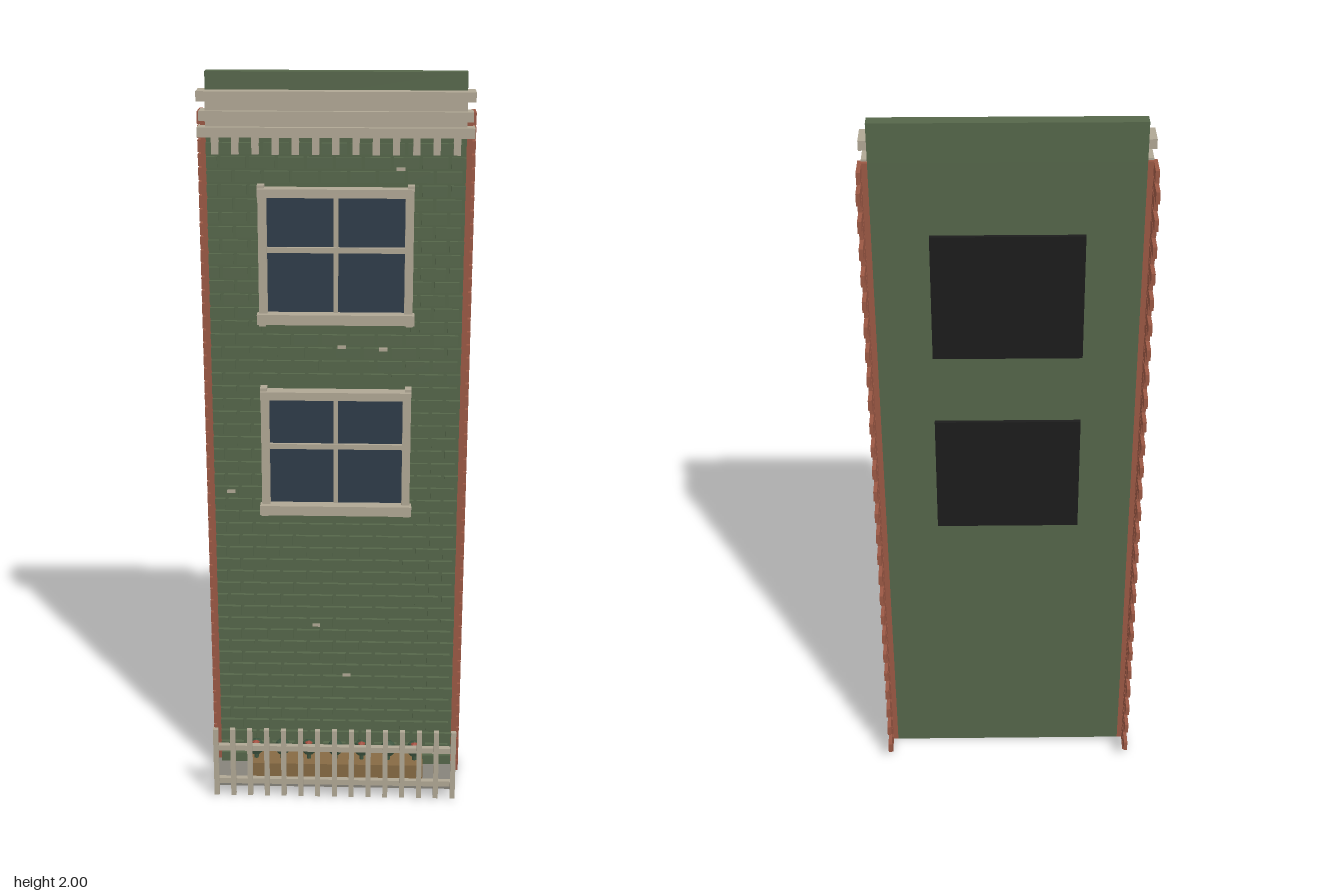
import * as THREE from 'three';
import { mergeGeometries } from 'three/addons/utils/BufferGeometryUtils.js';

const mat = (name, color) => {
  const m = new THREE.MeshStandardMaterial({ color });
  m.name = name;
  return m;
};

// Box given by its min and max on each axis
const span = (x0, x1, y0, y1, z0, z1) =>
  new THREE.BoxGeometry(x1 - x0, y1 - y0, z1 - z0)
    .translate((x0 + x1) / 2, (y0 + y1) / 2, (z0 + z1) / 2);

export function createModel() {
  const green = mat('greenBrick', 0x55664a);
  const red = mat('redBrick', 0x9a5844);
  const stone = mat('paleStone', 0xb0a794);
  const glass = mat('darkGlass', 0x2d3b49);
  const black = mat('blackBacking', 0x1c1c1c);
  const grey = mat('greyStone', 0x86837b);
  const wood = mat('planterWood', 0x866a43);
  const leaf = mat('leafGreen', 0x3e5640);
  const petal = mat('redPetal', 0xa04c3c);

  const model = new THREE.Group();
  model.name = 'townhouseFacade';
  const add = (name, material, geos, parent = model) => {
    const mesh = new THREE.Mesh(mergeGeometries([geos].flat()), material);
    mesh.name = name;
    parent.add(mesh);
    return mesh;
  };

  // Wall and parapet
  add('wall', green, span(-0.33, 0.33, 0.01, 1.9, -0.05, -0.01));
  add('parapet', green, span(-0.33, 0.33, 1.9, 2, -0.05, -0.015));

  // Running-bond face bricks, cut around the windows
  const rowPitch = 1.9 / 53, brickPitch = 0.66 / 9;
  const windows = [[0.815, 1.18], [1.35, 1.72]];
  const bricks = [];
  const layBrick = (a, b, y) => {
    if (b - a > 0.015) bricks.push(span(a, b, y, y + 0.028, -0.012, 0));
  };
  for (let row = 1; row < 51; row++) {
    const y = row * rowPitch + 0.004;
    const cut = windows.some(([lo, hi]) => y + 0.028 > lo && y < hi);
    for (let i = 0; i < 10; i++) {
      const start = -0.33 + (i - (row % 2) / 2) * brickPitch;
      const a = Math.max(-0.33, start);
      const b = Math.min(0.33, start + brickPitch - 0.009);
      if (!cut) layBrick(a, b, y);
      else {
        layBrick(a, Math.min(b, -0.195), y);
        layBrick(Math.max(a, 0.195), b, y);
      }
    }
  }
  add('faceBricks', green, bricks);

  // Small pale chips in the brickwork
  const chips = [[0.165, 1.76], [0.015, 1.29], [0.125, 1.285], [-0.055, 0.48], [0.03, 0.325], [-0.285, 0.88]];
  add('wallChips', stone, chips.map(([x, y]) => span(x - 0.011, x + 0.011, y - 0.004, y + 0.004, -0.003, 0.004)));

  // Toothed side brickwork, alternating long and short courses
  for (const s of [1, -1]) {
    const teeth = [];
    const place = (y, z0, z1) => {
      const x = s * 0.349;
      teeth.push(span(x - 0.005, x + 0.005, y, y + 0.031, z0, z1));
    };
    for (let row = 0; row < 53; row++) {
      const y = row * rowPitch + 0.003;
      if (row % 2) {
        place(y, -0.061, -0.03);
        place(y, -0.134, -0.065);
      } else place(y, -0.096, -0.03);
    }
    const side = s > 0 ? 'left' : 'right';
    add(side + 'SideBricks', red, teeth);
    add(side + 'SideBacking', red,
      span(Math.min(s * 0.33, s * 0.345), Math.max(s * 0.33, s * 0.345), 0.01, 1.9, -0.049, -0.025));
  }

  // Cornice slabs and dentils
  add('cornice', stone, [
    span(-0.35, 0.35, 1.93, 1.955, -0.045, 0.02),
    span(-0.345, 0.345, 1.88, 1.905, -0.04, 0.013),
    span(-0.35, 0.35, 1.84, 1.865, -0.04, 0.016),
    span(-0.33, 0.33, 1.85, 1.945, -0.03, 0.0),
  ]);
  const dentils = [];
  for (let i = 0; i < 13; i++) {
    const x = -0.306 + i * 0.051;
    dentils.push(span(x - 0.009, x + 0.009, 1.797, 1.842, -0.012, 0.013));
  }
  add('dentils', stone, dentils);

  // Sash windows with black backing panels
  windows.forEach(([lo, hi], i) => {
    const w = new THREE.Group();
    w.name = i ? 'upperWindow' : 'lowerWindow';
    model.add(w);
    const mid = (lo + hi) / 2 + 0.015;
    add('glassPane', glass, span(-0.18, 0.18, lo + 0.03, hi - 0.025, -0.011, -0.004), w);
    add('lintel', stone, span(-0.2, 0.2, hi - 0.03, hi - 0.008, -0.012, 0.028), w);
    add('sill', stone, span(-0.205, 0.205, lo + 0.007, lo + 0.034, -0.012, 0.03), w);
    add('glazingBars', stone, [
      span(-0.006, 0.006, lo + 0.03, hi - 0.025, -0.008, 0.002),
      span(-0.18, 0.18, mid - 0.007, mid + 0.007, -0.008, 0.006),
    ], w);
    add('jambs', stone, [-1, 1].map((s) =>
      span(s * 0.189 - 0.011, s * 0.189 + 0.011, lo + 0.01, hi - 0.01, -0.012, 0.015)), w);
    add('cornerEars', stone, [-1, 1].flatMap((s) => [lo, hi - 0.014].map((y) =>
      span(s * 0.192 - 0.009, s * 0.192 + 0.009, y, y + 0.014, -0.012, 0.018))), w);
    add('backPanel', black, span(-0.19, 0.19, lo + 0.015, hi - 0.01, -0.06, -0.049), w);
  });

  // Base slab and planter
  add('baseSlab', grey, span(-0.342, 0.342, 0.003, 0.035, -0.04, 0.073));
  add('planter', wood, span(-0.248, 0.248, 0.04, 0.087, 0.02, 0.09));

  // Planted shrubs, every other one in flower
  for (let i = 0; i < 7; i++) {
    const plant = new THREE.Group();
    plant.name = 'shrub';
    plant.position.set(-0.225 + i * 0.075, 0.087, 0.055);
    model.add(plant);
    add('stem', leaf, new THREE.CylinderGeometry(0.007, 0.007, 0.03, 6).translate(0, 0.012, 0), plant);
    add('foliage', leaf, new THREE.SphereGeometry(0.024, 6, 4).translate(0, 0.035, 0), plant);
    if (i % 2 === 0)
      add('flower', petal, new THREE.SphereGeometry(0.014, 6, 4).translate(0, 0.045, 0.008), plant);
  }

  // Picket fence
  add('fenceRails', stone, [0.05, 0.155].map((y) => span(-0.33, 0.33, y - 0.008, y + 0.008, 0.11, 0.125)));
  const pickets = [];
  for (let i = 0; i < 15; i++) {
    const x = -0.332 + i * 0.0474;
    pickets.push(span(x - 0.007, x + 0.007, 0.01, 0.218, 0.121, 0.135));
  }
  add('pickets', stone, pickets);

  // Flat facets on the low-poly shrubs
  model.traverse((o) => {
    if (o.name === 'foliage' || o.name === 'flower') {
      o.geometry = o.geometry.toNonIndexed();
      o.geometry.computeVertexNormals();
    }
  });
  return model;
}
